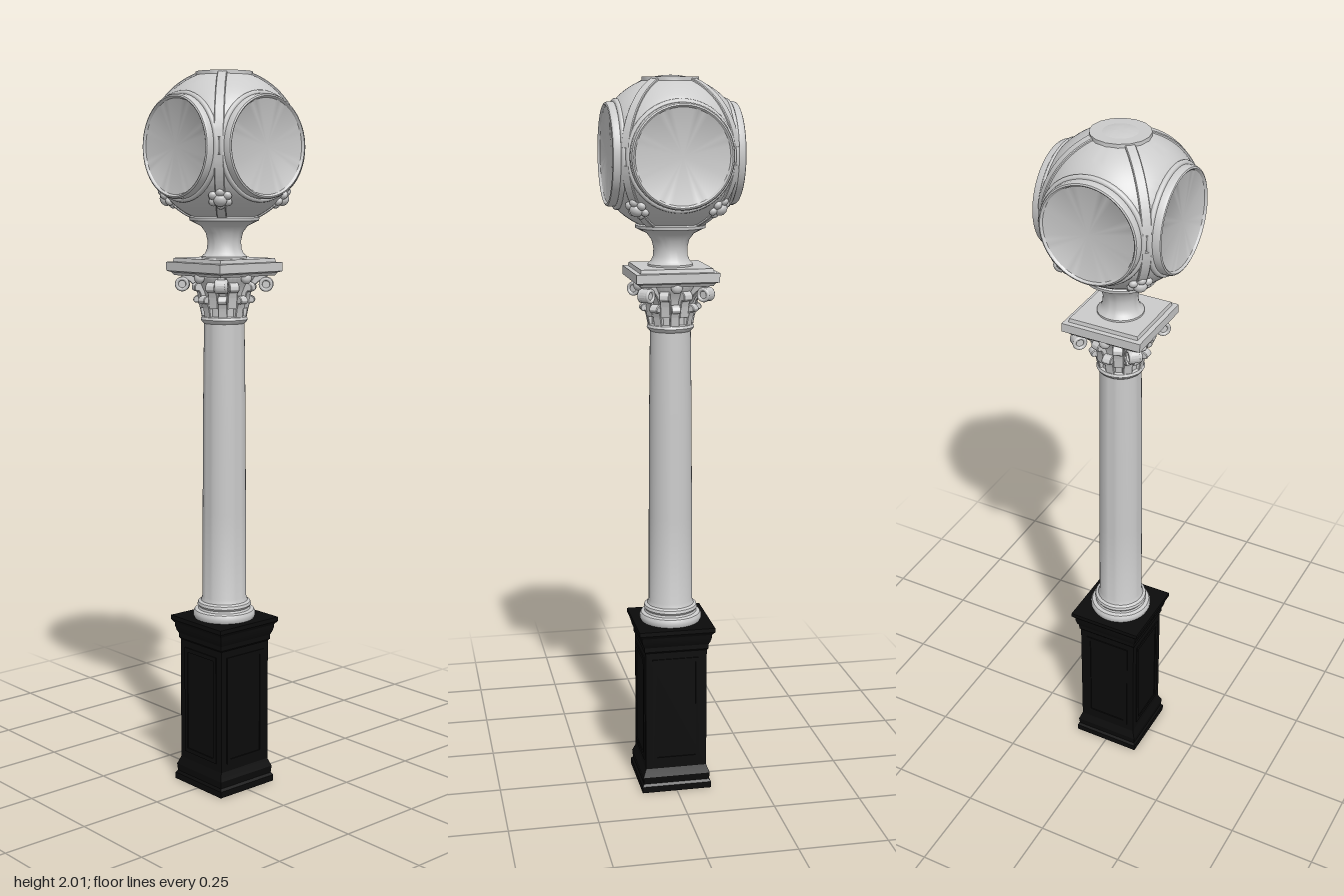
import * as THREE from 'three';
import { toCreasedNormals } from 'three/addons/utils/BufferGeometryUtils.js';

const grey = new THREE.MeshStandardMaterial({ color: 0xcccccc });
const black = new THREE.MeshStandardMaterial({ color: 0x0b0b0b });

export function createModel() {
  const root = new THREE.Group();
  root.name = 'postClock';

  const add = (name, geo, mat = grey, parent = root) => {
    const m = new THREE.Mesh(geo, mat);
    m.name = name;
    parent.add(m);
    return m;
  };
  // Turned part from [radius, y] pairs, bottom to top
  const turned = (pts, seg = 40, crease = 0.6) =>
    toCreasedNormals(new THREE.LatheGeometry(pts.map(p => new THREE.Vector2(...p)), seg), crease);
  // Square moulding from [half width, y] pairs
  const square = pts =>
    turned(pts.map(([w, y]) => [w * Math.SQRT2, y]), 4, 0.3).rotateY(Math.PI / 4);
  // Run a builder n times around the post; +x is outward in each group
  const around = (name, n, start, build) => {
    for (let i = 0; i < n; i++) {
      const g = new THREE.Group();
      g.name = name;
      g.rotation.y = start + (i * 2 * Math.PI) / n;
      build(g);
      root.add(g);
    }
  };
  // Flat profile in the (radius, y) plane, extruded to a centred width
  const slab = (shape, width, bevel = 0.002) =>
    toCreasedNormals(new THREE.ExtrudeGeometry(shape, {
      depth: width - 2 * bevel, bevelEnabled: true, bevelSize: bevel,
      bevelThickness: bevel, bevelSegments: 1, curveSegments: 16,
    }).translate(0, 0, -width / 2 + bevel), 0.6);

  // Black pedestal with plinth and cornice
  add('pedestal', square([
    [0, 0], [0.1, 0], [0.1, 0.018], [0.095, 0.025], [0.097, 0.045], [0.091, 0.06],
    [0.088, 0.068], [0.088, 0.42], [0.092, 0.425], [0.092, 0.438], [0.096, 0.445],
    [0.1, 0.46], [0.1, 0.468], [0.108, 0.478], [0.108, 0.49], [0, 0.49],
  ]), black);

  // Panel frames on the four sides
  const frame = new THREE.Shape([[-0.068, 0.09], [0.068, 0.09], [0.068, 0.4], [-0.068, 0.4]]
    .map(p => new THREE.Vector2(...p)));
  frame.holes.push(new THREE.Path([[-0.056, 0.102], [-0.056, 0.388], [0.056, 0.388], [0.056, 0.102]]
    .map(p => new THREE.Vector2(...p))));
  const frameGeo = new THREE.ExtrudeGeometry(frame, { depth: 0.004, bevelEnabled: false })
    .translate(0, 0, 0.087).rotateY(Math.PI / 2);
  around('pedestalPanel', 4, 0, g => add('panelFrame', frameGeo, black, g));

  // Column with rounded base, tapering shaft and collar
  add('column', turned([
    [0, 0.488], [0.084, 0.488], [0.088, 0.496], [0.088, 0.506], [0.084, 0.513], [0.074, 0.516],
    [0.072, 0.522], [0.076, 0.528], [0.074, 0.536], [0.066, 0.54], [0.062, 0.552],
    [0.061, 0.8], [0.059, 1.1], [0.056, 1.325], [0.062, 1.33], [0.065, 1.336],
    [0.062, 1.343], [0.056, 1.346], [0, 1.346],
  ]));

  // Capital bell
  add('capitalBell', turned([
    [0, 1.34], [0.055, 1.34], [0.056, 1.38], [0.062, 1.41], [0.074, 1.437], [0.084, 1.452],
    [0.084, 1.462], [0, 1.462],
  ]));

  // Curling capital leaves in two tiers
  const leafGeo = (y, h, r, width) => {
    const s = new THREE.Shape();
    s.moveTo(r - 0.008, y);
    s.lineTo(r + 0.005, y);
    s.bezierCurveTo(r + 0.01, y + h * 0.5, r + 0.012, y + h * 0.75, r + 0.022, y + h * 0.68);
    s.bezierCurveTo(r + 0.034, y + h * 0.75, r + 0.026, y + h, r + 0.012, y + h);
    s.bezierCurveTo(r, y + h, r - 0.006, y + h * 0.6, r - 0.008, y);
    return slab(s, width);
  };
  const lowLeaf = leafGeo(1.346, 0.055, 0.055, 0.026);
  const highLeaf = leafGeo(1.37, 0.068, 0.06, 0.028);
  around('lowerLeaf', 8, 0, g => add('leaf', lowLeaf, grey, g));
  around('upperLeaf', 8, Math.PI / 8, g => add('leaf', highLeaf, grey, g));

  // Corner volutes, each a scroll on a stalk
  const scroll = toCreasedNormals(new THREE.CylinderGeometry(0.019, 0.019, 0.026, 18), 0.6)
    .rotateX(Math.PI / 2).translate(0.115, 1.432, 0);
  const rim = new THREE.TorusGeometry(0.015, 0.005, 8, 18);
  const stalk = new THREE.Shape();
  stalk.moveTo(0.055, 1.38);
  stalk.quadraticCurveTo(0.075, 1.44, 0.115, 1.451);
  stalk.lineTo(0.115, 1.462);
  stalk.lineTo(0.07, 1.462);
  stalk.lineTo(0.055, 1.38);
  const stalkGeo = slab(stalk, 0.022);
  around('cornerVolute', 4, Math.PI / 4, g => {
    add('scroll', scroll, grey, g);
    add('stalk', stalkGeo, grey, g);
    for (const z of [-0.013, 0.013]) add('scrollRim', rim, grey, g).position.set(0.115, 1.432, z);
  });

  // Small flower in the middle of each capital side
  const bud = new THREE.SphereGeometry(0.016, 14, 10).scale(0.8, 1, 1).translate(0.09, 1.452, 0);
  around('capitalFlower', 4, 0, g => add('flower', bud, grey, g));

  // Square abacus
  add('abacus', square([
    [0, 1.456], [0.098, 1.456], [0.103, 1.464], [0.113, 1.468], [0.113, 1.492],
    [0.1, 1.493], [0.098, 1.503], [0, 1.503],
  ]));

  // Flared neck under the head
  add('neck', turned([
    [0, 1.5], [0.062, 1.5], [0.062, 1.508], [0.053, 1.516], [0.047, 1.53], [0.046, 1.55],
    [0.051, 1.572], [0.064, 1.59], [0.084, 1.6], [0.095, 1.605], [0.096, 1.613], [0.088, 1.62], [0, 1.62],
  ]));

  // Round head cut flat on four sides
  const headY = 1.8, R = 0.205, cut = 0.151;
  const ball = new THREE.SphereGeometry(R, 72, 48);
  const p = ball.attributes.position;
  for (let i = 0; i < p.count; i++) {
    p.setX(i, THREE.MathUtils.clamp(p.getX(i), -cut, cut));
    p.setZ(i, THREE.MathUtils.clamp(p.getZ(i), -cut, cut));
  }
  add('head', toCreasedNormals(ball, 0.5)).position.y = headY;

  // Flat cap on top
  add('topCap', turned([[0, 1.975], [0.084, 1.975], [0.08, 1.984], [0.077, 1.988], [0.077, 2], [0, 2]], 16));

  // Four dials, each with a rounded bezel, a flat face and an outer moulding
  const bezel = turned([
    [0.137, 0.142], [0.137, 0.169], [0.134, 0.175], [0.13, 0.177], [0.127, 0.175], [0.125, 0.171], [0, 0.171],
  ], 56).rotateZ(-Math.PI / 2);
  const moulding = new THREE.TorusGeometry(0.138, 0.008, 10, 56).rotateY(Math.PI / 2);
  around('dial', 4, 0, g => {
    add('bezelAndFace', bezel, grey, g).position.y = headY;
    add('dialMoulding', moulding, grey, g).position.set(0.148, headY, 0);
  });

  // Diagonal ribs over the head, above and below the dials
  const ribGeo = (a0, a1) => {
    const s = new THREE.Shape();
    s.absarc(0, 0, R + 0.003, a0, a1, false);
    s.absarc(0, 0, R - 0.015, a1, a0, true);
    return slab(s, 0.026);
  };
  const ribs = [ribGeo(0.12, 1.2), ribGeo(-1.1, -0.12)];
  // Rosette ornament low on each diagonal
  const boss = new THREE.SphereGeometry(0.018, 16, 12).scale(0.8, 1, 1);
  const petal = new THREE.SphereGeometry(0.012, 12, 8).scale(0.8, 1, 1);
  around('headCorner', 4, Math.PI / 4, g => {
    ribs.forEach(r => { add('rib', r, grey, g).position.y = headY; });
    const rosette = new THREE.Group();
    rosette.name = 'rosette';
    rosette.position.set(0.156, 1.664, 0);
    rosette.rotation.z = -0.72;
    add('boss', boss, grey, rosette).position.x = 0.006;
    for (let i = 0; i < 6; i++) {
      const a = (i * Math.PI) / 3;
      add('petal', petal, grey, rosette).position.set(0, 0.022 * Math.cos(a), 0.022 * Math.sin(a));
    }
    g.add(rosette);
  });

  return root;
}
